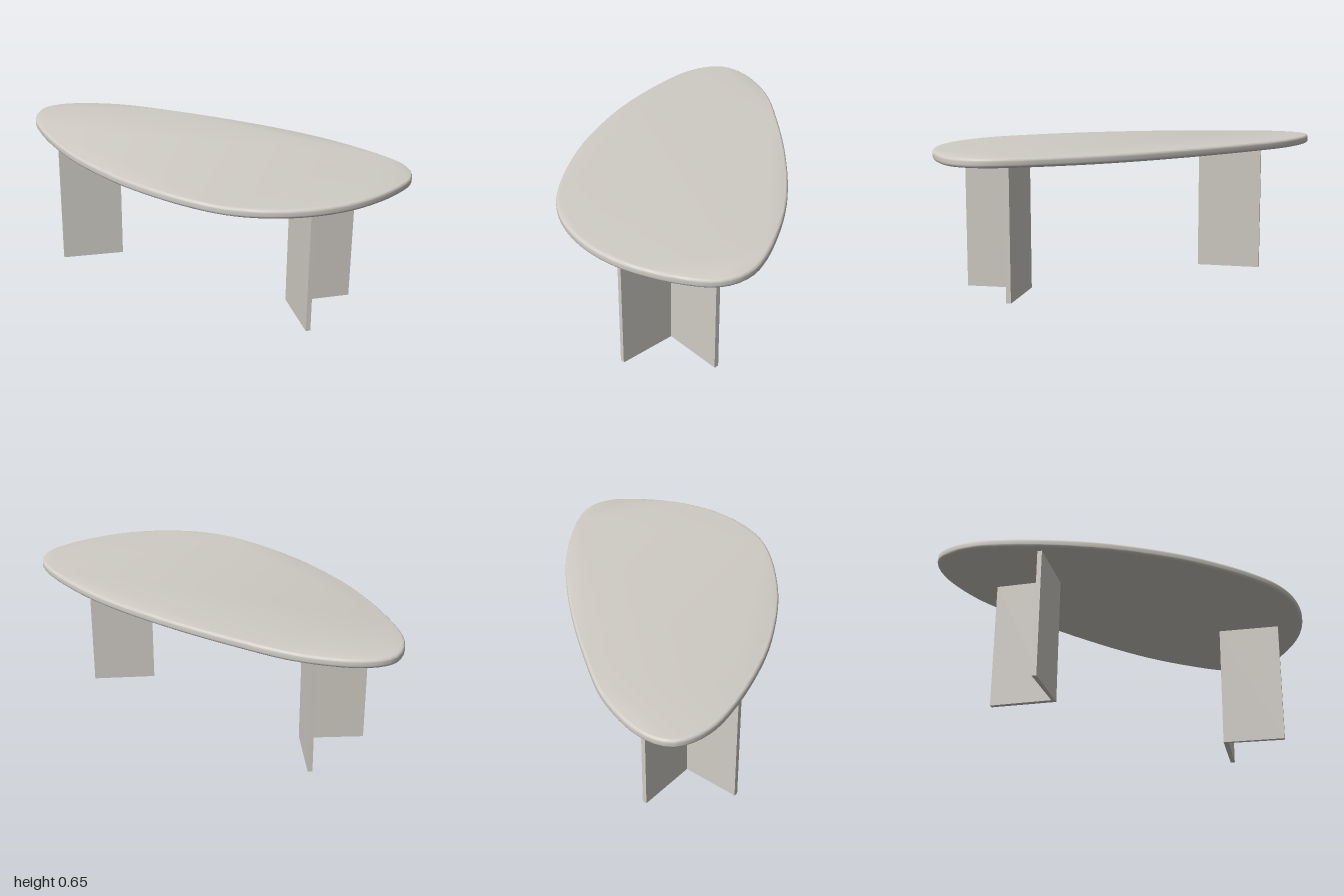
import * as THREE from 'three';
import { toCreasedNormals } from 'three/addons/utils/BufferGeometryUtils.js';

const TOP = 0.65, UNDERSIDE = 0.61, BEVEL = 0.013;

// Asymmetric pebble outline of the tabletop, as [x, z]
const OUTLINE = [
  [-1, -0.14], [-0.97, -0.215], [-0.9, -0.285], [-0.8, -0.345], [-0.65, -0.405],
  [-0.4, -0.452], [-0.1, -0.49], [0.2, -0.506], [0.4, -0.5], [0.6, -0.472],
  [0.8, -0.422], [0.9, -0.375], [0.965, -0.305], [0.993, -0.22], [0.985, -0.11],
  [0.957, 0.01], [0.9, 0.15], [0.81, 0.28], [0.7, 0.38], [0.58, 0.45],
  [0.45, 0.49], [0.28, 0.5], [0.1, 0.487], [-0.1, 0.453], [-0.4, 0.357],
  [-0.6, 0.26], [-0.8, 0.135], [-0.92, 0.035], [-0.98, -0.055],
];

// Folded plate seen from above: two arms meeting at an inner corner
const LEG = [
  [0.508, -0.02], [0.722, 0.19], [0.737, 0.175],
  [0.537, -0.014], [0.737, -0.223], [0.722, -0.238],
];

// Extrude a plan shape downwards from the height `top`
function slab(shape, top, options) {
  const geo = new THREE.ExtrudeGeometry(shape, options);
  geo.rotateX(Math.PI / 2);
  geo.translate(0, top, 0);
  return geo;
}

export function createModel() {
  const group = new THREE.Group();
  const stone = new THREE.MeshStandardMaterial({ color: 0xd0ccc5 });
  stone.name = 'warm grey';

  const add = (name, geometry) => {
    const mesh = new THREE.Mesh(geometry, stone);
    mesh.name = name;
    group.add(mesh);
  };

  // Tabletop with a softly rounded rim
  const curve = new THREE.CatmullRomCurve3(
    OUTLINE.map(([x, z]) => new THREE.Vector3(x, z, 0)), true, 'centripetal');
  const rim = curve.getSpacedPoints(120).slice(0, -1).map((p) => new THREE.Vector2(p.x, p.y));
  const top = slab(new THREE.Shape(rim), TOP - BEVEL, {
    depth: TOP - UNDERSIDE - 2 * BEVEL, bevelEnabled: true, bevelSegments: 5,
    bevelThickness: BEVEL, bevelSize: BEVEL, bevelOffset: -BEVEL,
  });
  add('tabletop', toCreasedNormals(top, 0.6));

  // Two V-shaped legs, mirrored about the middle of the pair
  const leg = (points) => slab(
    new THREE.Shape(points.map(([x, z]) => new THREE.Vector2(x, z))),
    UNDERSIDE, { depth: UNDERSIDE, bevelEnabled: false });
  add('leftLeg', leg(LEG));
  add('rightLeg', leg(LEG.map(([x, z]) => [0.074 - x, z])));

  return group;
}
